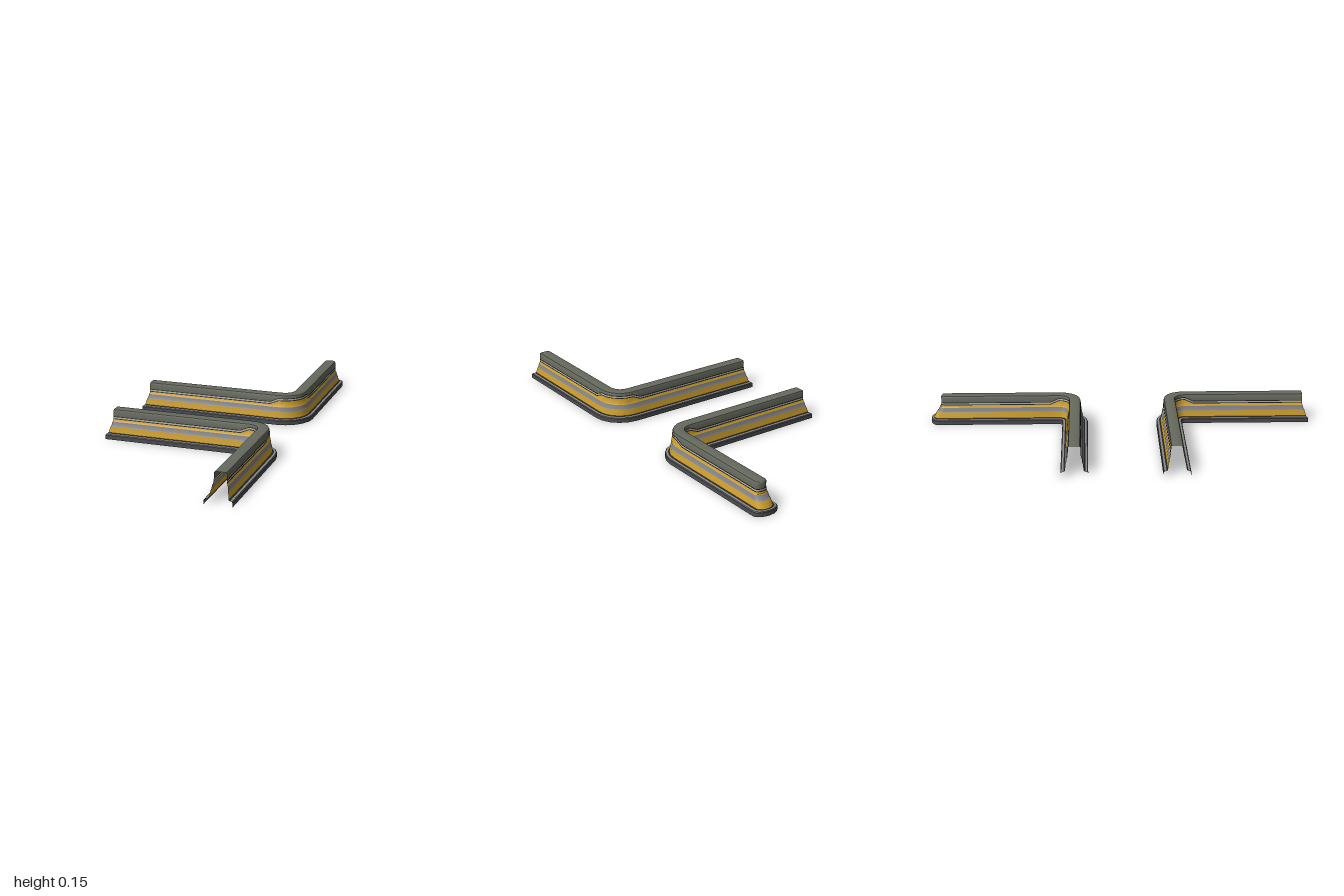
import * as THREE from 'three';
import { mergeGeometries, toCreasedNormals } from 'three/addons/utils/BufferGeometryUtils.js';

const XC = 0.292, R = 0.085;      // bend centre in x, bend radius
const START = -0.447, LIFT = 0.02, RAMP = 0.045;

// Bands of the wall's half section, from the ground up.
// Each point: [half width, height, set-back at the ends, follows the raised trim at the bend]
const BANDS = [
  ['plinth', 0x4c4d50, [[0.067, 0, 0, 0], [0.067, 0.021, 0, 0], [0.063, 0.025, 0.002, 0]]],
  ['plinthLedge', 0x8c8c8c, [[0.063, 0.025, 0.002, 0], [0.053, 0.026, 0.006, 0]]],
  ['plinthSeam', 0x2a2a2c, [[0.053, 0.026, 0.006, 0], [0.046, 0.029, 0.009, 0]]],
  ['lowerPanel', 0xd0a02c, [[0.046, 0.029, 0.009, 0], [0.043, 0.045, 0.014, 0], [0.041, 0.06, 0.019, 0]]],
  ['middleBand', 0x86878b, [[0.041, 0.06, 0.019, 0], [0.039, 0.064, 0.022, 0], [0.036, 0.085, 0.028, 0]]],
  ['upperPanel', 0xd0a02c, [[0.036, 0.085, 0.028, 0], [0.034, 0.088, 0.03, 0], [0.032, 0.097, 0.031, 1]]],
  ['trimLowerLine', 0x151515, [[0.032, 0.097, 0.031, 1], [0.031, 0.101, 0.032, 1]]],
  ['trimStripe', 0xb8b8b0, [[0.031, 0.101, 0.032, 1], [0.031, 0.108, 0.032, 1]]],
  ['trimUpperLine', 0x151515, [[0.031, 0.108, 0.032, 1], [0.03, 0.112, 0.032, 1]]],
  ['coping', 0x666a5e, [[0.03, 0.112, 0.032, 1], [0.03, 0.139, 0.032, 0], [0.027, 0.145, 0.034, 0],
    [0.021, 0.147, 0.036, 0], [0, 0.147, 0.037, 0]]],
];

// Points along the wall for one section point on one side (+1 outer, -1 inner)
function rail([o, y, e, raised], side, dir, zMid, capped) {
  const pts = [];
  const zc = zMid + R;
  const off = side * o;
  const add = (x, w, lifted) => pts.push([x, y + (lifted && raised ? LIFT : 0), w * dir]);
  add(START + Math.min(e, 0.032), zMid - off, false);
  add(XC - RAMP, zMid - off, false);
  const n = 5;
  for (let i = 0; i <= n; i++) {
    const a = (i / n) * Math.PI / 2;
    add(XC + (R + off) * Math.sin(a), zc - (R + off) * Math.cos(a), true);
  }
  add(XC + R + off, zc + RAMP, false);
  if (!capped) {
    add(XC + R + off, 1 - Math.min(e, 0.032), false);
  } else {
    // Flattened round end, meeting the other side at the tip
    const tip = 1 - e * 1.7, depth = 0.6 * o;
    for (let i = 0; i <= 4; i++) {
      const a = (i / 4) * Math.PI / 2;
      add(XC + R + off * Math.cos(a), tip - depth * (1 - Math.sin(a)), false);
    }
  }
  return pts;
}

function bandSide(profile, side, dir, zMid, capped) {
  const rails = profile.map((p) => rail(p, side, dir, zMid, capped));
  const count = rails[0].length;
  const index = [];
  for (let k = 0; k < rails.length - 1; k++) {
    for (let i = 0; i < count - 1; i++) {
      const a = k * count + i, b = a + 1, c = a + count, d = c + 1;
      if (side * dir > 0) index.push(a, c, b, b, c, d);
      else index.push(a, b, c, b, d, c);
    }
  }
  const g = new THREE.BufferGeometry();
  g.setAttribute('position', new THREE.Float32BufferAttribute(rails.flat(2), 3));
  g.setIndex(index);
  return g;
}

function wall(name, dir, zMid, capped) {
  const group = new THREE.Group();
  group.name = name;
  for (const [part, color, profile] of BANDS) {
    const sides = [1, -1].map((s) => bandSide(profile, s, dir, zMid, capped));
    const geo = toCreasedNormals(mergeGeometries(sides), 0.55);
    const mesh = new THREE.Mesh(geo, new THREE.MeshStandardMaterial({ color, side: THREE.DoubleSide }));
    mesh.name = part;
    group.add(mesh);
  }
  return group;
}

export function createModel() {
  const model = new THREE.Group();
  model.name = 'cornerWalls';
  model.add(wall('frontWall', 1, 0.259, false));
  model.add(wall('backWall', -1, 0.237, true));
  return model;
}
